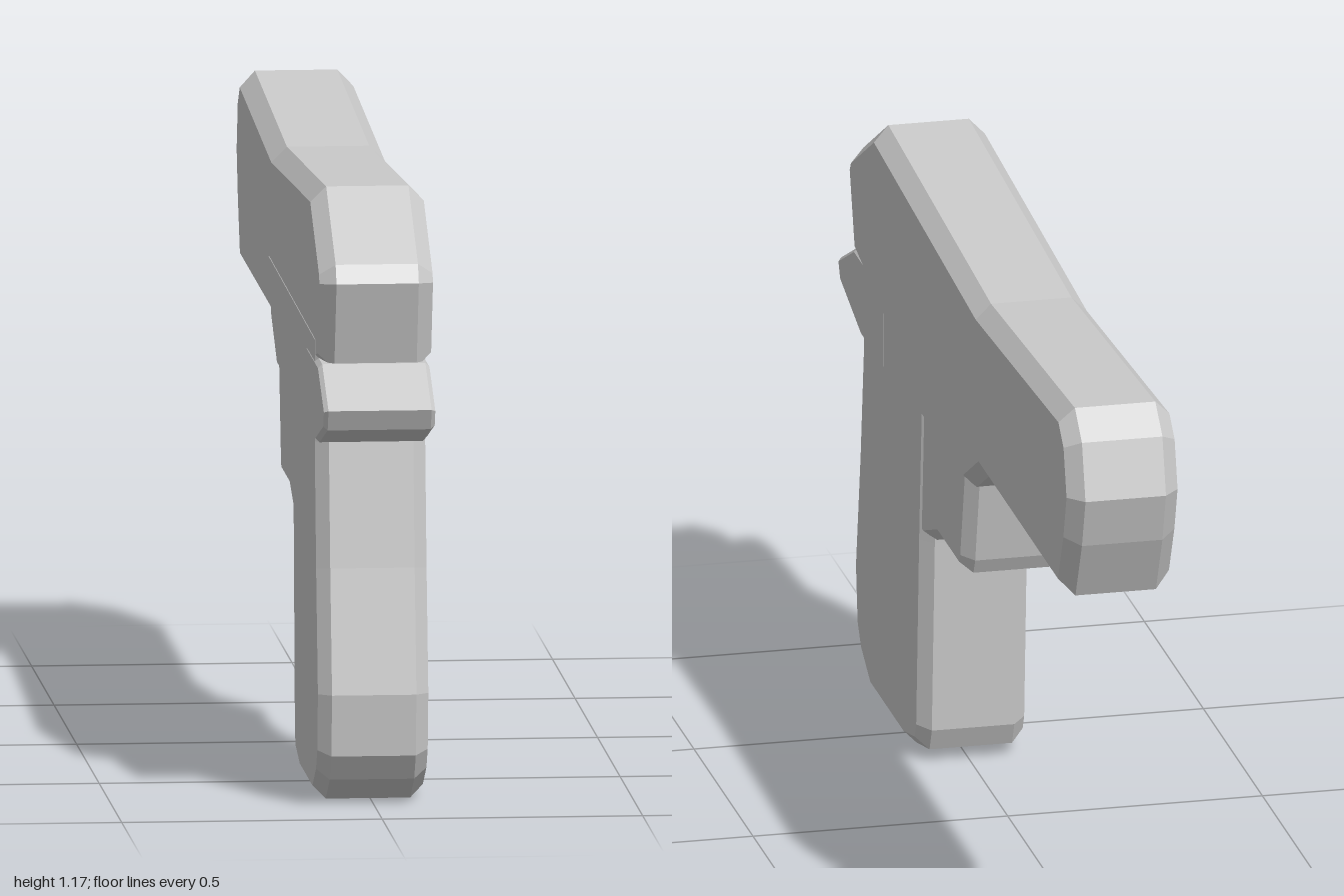
import * as THREE from 'three';

const material = new THREE.MeshStandardMaterial({ color: 0xcccccc, flatShading: true });

// Chamfered slab: a [z, y] outline given thickness along x.
function slab(name, outline, halfWidth, inset, chamfer, x = 0) {
  const shape = new THREE.Shape(outline.map(([z, y]) => new THREE.Vector2(z, y)));
  const depth = 2 * (halfWidth - chamfer);
  const geometry = new THREE.ExtrudeGeometry(shape, {
    depth,
    bevelEnabled: true,
    bevelSegments: 1,
    bevelSize: inset,
    bevelOffset: -inset,
    bevelThickness: chamfer,
  });
  geometry.translate(0, 0, -depth / 2);
  geometry.rotateY(-Math.PI / 2);
  const mesh = new THREE.Mesh(geometry, material);
  mesh.name = name;
  mesh.position.x = x;
  return mesh;
}

export function createModel() {
  const model = new THREE.Group();
  model.name = 'pistol';

  // Long upper body with a dipped top and faceted ends
  model.add(slab('slide', [
    [0.85, 0.85], [0.90, 1.02], [0.88, 1.055], [0.67, 1.175],
    [-0.20, 1.12], [-0.91, 1.16], [-0.97, 1.11], [-1.0, 1.0],
    [-0.97, 0.90], [-0.915, 0.78], [-0.20, 0.78], [0.5, 0.78],
  ], 0.109, 0.03, 0.03));

  // Grip, continuing up into the frame under the slide
  model.add(slab('gripAndFrame', [
    [0.80, 0.70], [0.83, 0.46], [0.87, 0.22], [0.855, 0.10],
    [0.82, 0.05], [0.73, 0.0], [0.44, 0.0], [0.33, 0.025],
    [0.31, 0.07], [0.285, 0.46], [0.265, 0.70], [-0.07, 0.70],
    [-0.21, 0.78], [-0.28, 0.92], [0.80, 0.92],
  ], 0.106, 0.025, 0.025, -0.004));

  // Solid trigger block in front of the grip
  model.add(slab('triggerGuard', [
    [0.40, 0.465], [0.29, 0.465], [0.17, 0.51], [-0.025, 0.51],
    [-0.04, 0.54], [-0.08, 0.72], [-0.08, 0.85], [0.40, 0.85],
  ], 0.102, 0.02, 0.025, -0.004));

  // Pointed spur at the back, above the grip
  model.add(slab('tang', [
    [0.60, 0.70], [0.80, 0.70], [0.98, 0.75], [1.0, 0.79],
    [0.86, 0.86], [0.60, 0.86],
  ], 0.107, 0.008, 0.008, -0.004));

  return model;
}
